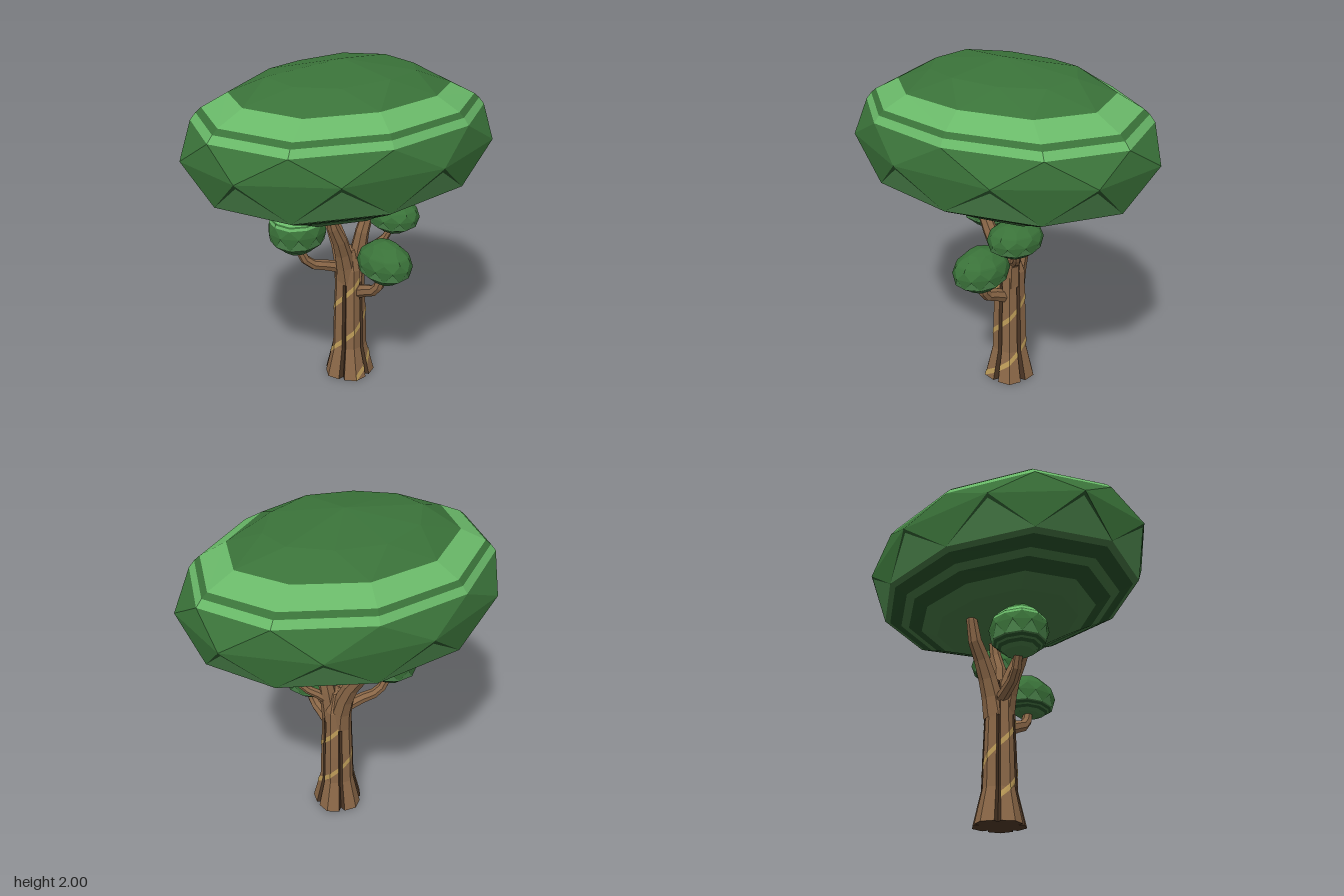
import * as THREE from 'three';

const LEAF = 0x3a7239, LIGHT = 0x69b868, PALE = 0x559455, SHADE = 0x244a25, UNDER = 0x41703f;
const BARK = 0x8a6747, GROOVE = 0x4a3524, GOLD = 0xbd9c58;
const V = (x, y, z) => new THREE.Vector3(x, y, z);
const material = (color) => new THREE.MeshStandardMaterial({ color, flatShading: true });

// Collects triangles by colour and turns them into one mesh per colour
function facets(name) {
  const buckets = new Map();
  const tri = (color, ...corners) => {
    if (!buckets.has(color)) buckets.set(color, []);
    for (const p of corners) buckets.get(color).push(p.x, p.y, p.z);
  };
  const quad = (color, a, b, c, d) => { tri(color, a, b, c); tri(color, a, c, d); };
  const build = (names) => {
    const group = new THREE.Group();
    group.name = name;
    for (const [color, pos] of buckets) {
      const geo = new THREE.BufferGeometry();
      geo.setAttribute('position', new THREE.Float32BufferAttribute(pos, 3));
      geo.computeVertexNormals();
      const mesh = new THREE.Mesh(geo, material(color));
      mesh.name = names[color] || name;
      group.add(mesh);
    }
    return group;
  };
  return { tri, quad, build };
}

// Leaf cluster: [height, radius, phase, colour of the zone up to the next ring]
const LEAF_RINGS = [
  [-1, 0, 0.5, UNDER], [-0.84, 0.5, 0.5, UNDER], [-0.72, 0.62, 0.5, SHADE], [-0.63, 0.72, 0.5, UNDER],
  [-0.58, 0.78, 0.5, SHADE], [-0.5, 0.87, 0.5, UNDER], [-0.46, 0.91, 0.5, 'zigzag'],
  [0, 1, 0, LEAF], [0.32, 0.93, 0.5, LIGHT], [0.41, 0.895, 0.5, LEAF], [0.47, 0.86, 0.5, LIGHT],
  [0.64, 0.7, 0.5, LEAF], [0.86, 0.48, 0, LEAF], [1, 0, 0, LEAF],
];

function leafCluster(name, [cx, cy, cz], [rx, ry, rz], banded) {
  const { tri, build } = facets(name);
  const N = 10;
  const rings = LEAF_RINGS.map(([h, r, phase]) => {
    const ring = [];
    for (let j = 0; j <= N; j++) {
      const t = ((j % N) + phase) * Math.PI * 2 / N;
      const wob = h === 0 ? 0 : 0.022 * Math.sin(3 * t + 1);
      ring.push(V(cx + rx * r * Math.sin(t), cy + ry * (h + (r ? wob : 0)), cz + rz * r * Math.cos(t)));
    }
    return ring;
  });
  for (let i = 0; i < rings.length - 1; i++) {
    const lo = rings[i], up = rings[i + 1], [, , phase, zone] = LEAF_RINGS[i];
    const crossed = phase === 0.5 && LEAF_RINGS[i + 1][2] === 0;
    const color = !banded && zone === LIGHT ? LEAF : zone;
    for (let j = 0; j < N; j++) {
      const a = lo[j], b = lo[j + 1], c = up[j + 1], d = up[j];
      if (zone === 'zigzag') {
        // pale triangles edged by a dark sliver, between hanging leaf points
        const tip = c.clone().lerp(a.clone().add(b).multiplyScalar(0.5), 0.11);
        tri(PALE, a, b, tip);
        tri(SHADE, a, tip, c);
        tri(SHADE, tip, b, c);
        tri(LEAF, a, c, d);
      } else if (crossed) {
        tri(color, a, b, c);
        tri(color, a, c, d);
      } else {
        tri(color, a, b, d);
        tri(color, b, c, d);
      }
    }
  }
  return build({ [LEAF]: 'leaves', [LIGHT]: 'lightBands', [PALE]: 'paleTriangles', [SHADE]: 'darkBands', [UNDER]: 'underside' });
}

// Trunk: five bark lobes split by dark grooves, with two spiral streaks
const TRUNK = [[0, 0.15], [0.2, 0.103], [0.4, 0.098], [0.6, 0.09], [0.73, 0.088], [0.85, 0.045]];
const LOBES = 5, STEPS = [0, 0.1, 0.5, 0.9];

function trunkRadius(y) {
  let i = 0;
  while (i < TRUNK.length - 2 && y > TRUNK[i + 1][0]) i++;
  const [y0, r0] = TRUNK[i], [y1, r1] = TRUNK[i + 1];
  return r0 + (r1 - r0) * (y - y0) / (y1 - y0);
}

function trunkPoint(y, k, grow = 1) {
  const step = ((k % 4) + 4) % 4;
  const t = (Math.floor(k / 4) + STEPS[step] + 0.15) * Math.PI * 2 / LOBES;
  const r = trunkRadius(y) * grow * [0.74, 0.97, 1.06, 0.97][step];
  return V(0.055 + r * Math.sin(t), y, r * Math.cos(t));
}

function makeTrunk() {
  const { tri, quad, build } = facets('trunk');
  const n = LOBES * 4;
  for (let k = 0; k < n; k++) {
    const color = k % 4 === 0 || k % 4 === 3 ? GROOVE : BARK;
    for (let i = 0; i < TRUNK.length - 1; i++) {
      const y0 = TRUNK[i][0], y1 = TRUNK[i + 1][0];
      quad(color, trunkPoint(y0, k), trunkPoint(y0, k + 1), trunkPoint(y1, k + 1), trunkPoint(y1, k));
    }
    tri(GROOVE, V(0.055, 0, 0), trunkPoint(0, k + 1), trunkPoint(0, k));
    tri(BARK, V(0.055, 0.86, 0), trunkPoint(0.85, k), trunkPoint(0.85, k + 1));
  }
  // spiral streaks lie just above the bark lobes
  for (const start of [0.06, 0.36]) {
    for (let k = -8; k < 28; k++) {
      const step = ((k % 4) + 4) % 4;
      if (step === 0 || step === 3) continue;
      const rise = (q) => start + 0.6 * (Math.floor(q / 4) + STEPS[((q % 4) + 4) % 4] + 0.15) / LOBES;
      const y0 = rise(k), y1 = rise(k + 1), w = 0.018;
      if (y0 < w || y1 > 0.71) continue;
      const p = (y, q) => trunkPoint(y, q, 1.025);
      quad(GOLD, p(y0 - w, k), p(y1 - w, k + 1), p(y1 + w, k + 1), p(y0 + w, k));
    }
  }
  return build({ [BARK]: 'bark', [GROOVE]: 'barkGrooves', [GOLD]: 'spiralStreaks' });
}

// Tapered branch along a few points
function branch(name, points, r0, r1) {
  const curve = new THREE.CatmullRomCurve3(points.map((p) => V(...p)));
  const segs = 6, sides = 7;
  const geo = new THREE.TubeGeometry(curve, segs, 1, sides);
  const pos = geo.attributes.position, v = V(0, 0, 0);
  for (let i = 0; i <= segs; i++) {
    const centre = curve.getPointAt(i / segs), r = r0 + (r1 - r0) * i / segs;
    for (let j = 0; j <= sides; j++) {
      const k = i * (sides + 1) + j;
      v.fromBufferAttribute(pos, k).sub(centre).multiplyScalar(r).add(centre);
      pos.setXYZ(k, v.x, v.y, v.z);
    }
  }
  geo.computeVertexNormals();
  const mesh = new THREE.Mesh(geo, material(BARK));
  mesh.name = name;
  return mesh;
}

export function createModel() {
  const tree = new THREE.Group();
  tree.name = 'tree';
  tree.add(makeTrunk());

  // limbs that carry the crown
  tree.add(
    branch('rightLimb', [[0.03, 0.65, 0.01], [-0.01, 0.82, 0.02], [-0.09, 1.0, 0.05], [-0.14, 1.1, 0.045], [-0.15, 1.26, 0.04]], 0.066, 0.022),
    branch('leftLimb', [[0.08, 0.65, 0.02], [0.1, 0.82, 0.03], [0.12, 0.98, 0.05], [0.16, 1.08, 0.05], [0.17, 1.26, 0.045]], 0.062, 0.024),
    branch('backLimb', [[0.055, 0.62, -0.03], [0.06, 0.78, -0.06], [0.05, 0.96, -0.14], [0.03, 1.08, -0.22], [0.03, 1.28, -0.235]], 0.07, 0.026),
  );
  // short branches that carry the small clusters
  tree.add(
    branch('rightBranch', [[0.03, 0.72, -0.02], [-0.08, 0.76, -0.05], [-0.19, 0.8, -0.09], [-0.26, 0.95, -0.12]], 0.038, 0.024),
    branch('leftBranch', [[0.07, 0.76, 0.0], [0.15, 0.83, 0.05], [0.23, 0.89, 0.11], [0.28, 1.02, 0.16]], 0.034, 0.018),
    branch('frontBranch', [[0.07, 0.57, 0.05], [0.07, 0.61, 0.14], [0.075, 0.645, 0.215], [0.09, 0.77, 0.26]], 0.042, 0.026),
  );

  // crown and small leaf clusters
  tree.add(
    leafCluster('crown', [0, 1.565, 0], [0.965, 0.435, 0.757], true),
    leafCluster('rightCluster', [-0.25, 1.03, -0.115], [0.175, 0.155, 0.17], true),
    leafCluster('leftCluster', [0.265, 1.06, 0.155], [0.143, 0.112, 0.17], false),
    leafCluster('frontCluster', [0.095, 0.835, 0.26], [0.14, 0.135, 0.183], false),
  );
  return tree;
}
